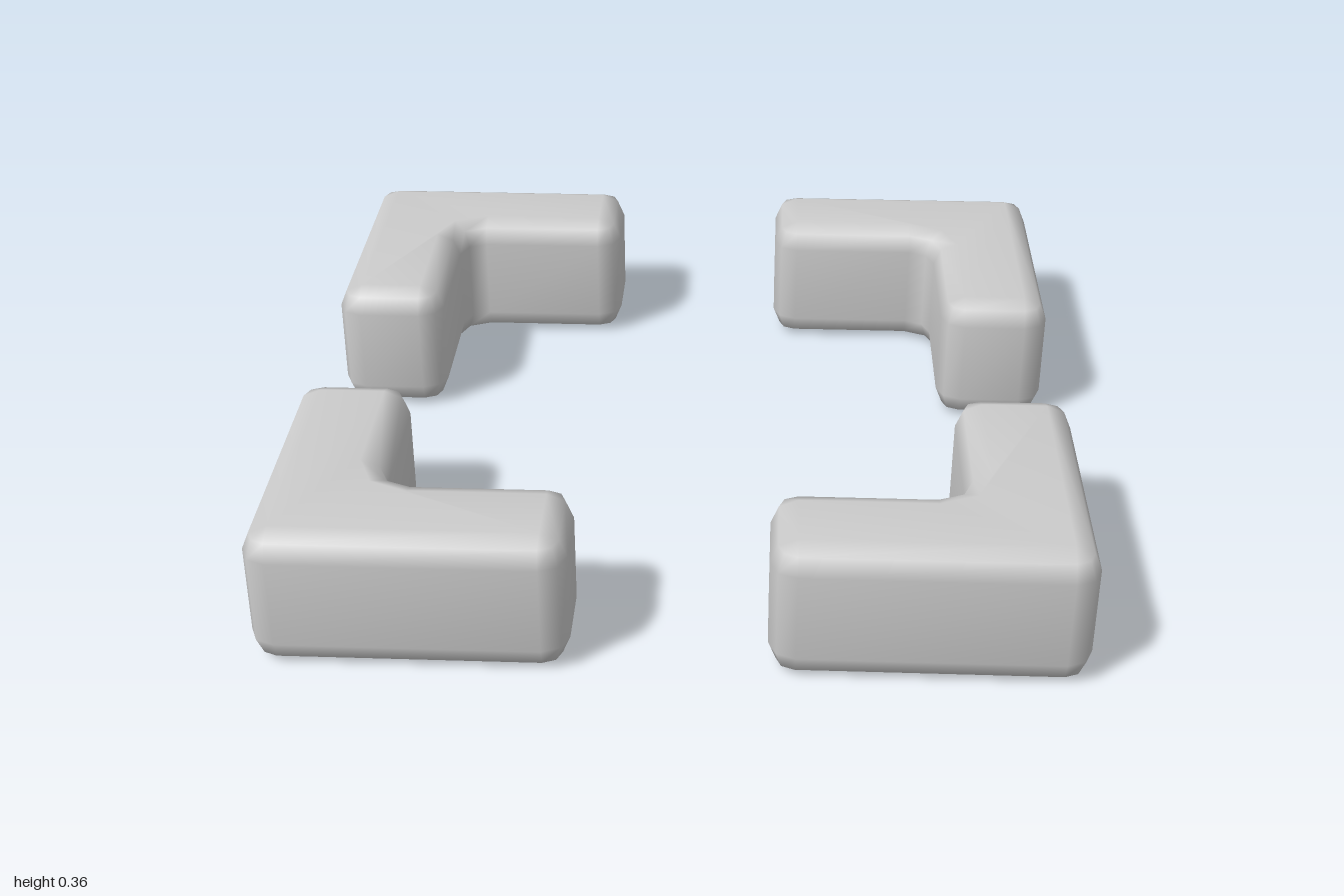
import * as THREE from 'three';
import { mergeVertices } from 'three/addons/utils/BufferGeometryUtils.js';

const OUTER = 1, INNER = 0.705, END = 0.235, HEIGHT = 0.36;
const R = 0.065;      // edge rounding
const FILLET = 0.07;  // radius of the inner corner
const SEG = 2;        // steps per rounded edge

// L outline in (x, z), with the inset core grown outwards by d
function outline(d) {
  const points = [];
  const arc = (cx, cz, radius, from, to) => {
    for (let k = 0; k <= SEG; k++) {
      const a = THREE.MathUtils.degToRad(from + (to - from) * k / SEG);
      points.push(new THREE.Vector2(cx + radius * Math.cos(a), cz + radius * Math.sin(a)));
    }
  };
  arc(OUTER - R, OUTER - R, d, 0, 90);
  arc(END + R, OUTER - R, d, 90, 180);
  arc(END + R, INNER + R, d, 180, 270);
  arc(INNER - FILLET, INNER - FILLET, FILLET + R - d, 90, 0); // inner corner
  arc(INNER + R, END + R, d, 180, 270);
  arc(OUTER - R, END + R, d, 270, 360);
  return points;
}

function cornerGeometry() {
  // Stack of outlines: rounded bottom edge, straight wall, rounded top edge
  const levels = [];
  for (let k = 0; k <= SEG; k++) {
    const t = k / SEG * Math.PI / 2;
    levels.push([R * Math.sin(t), R - R * Math.cos(t)]);
  }
  for (let k = SEG; k >= 0; k--) levels.push([levels[k][0], HEIGHT - levels[k][1]]);

  const positions = [], index = [];
  for (const [d, y] of levels) for (const p of outline(d)) positions.push(p.x, y, p.y);

  const core = outline(0), n = core.length;
  for (let j = 0; j < levels.length - 1; j++) {
    for (let k = 0; k < n; k++) {
      const a = j * n + k, b = j * n + (k + 1) % n;
      index.push(a, a + n, b, b, a + n, b + n);
    }
  }

  // Flat underside and top
  const top = (levels.length - 1) * n;
  for (const [a, b, c] of THREE.ShapeUtils.triangulateShape(core, [])) {
    index.push(a, b, c, top + a, top + c, top + b);
  }

  let geometry = new THREE.BufferGeometry();
  geometry.setAttribute('position', new THREE.Float32BufferAttribute(positions, 3));
  geometry.setIndex(index);
  geometry = mergeVertices(geometry, 1e-5);
  geometry.computeVertexNormals();
  return geometry;
}

export function createModel() {
  const model = new THREE.Group();
  model.name = 'cornerBrackets';
  const material = new THREE.MeshStandardMaterial({ color: 0xcccccc });
  const geometry = cornerGeometry();
  // One bracket per corner, turned in quarter steps
  ['frontLeftBracket', 'backLeftBracket', 'backRightBracket', 'frontRightBracket'].forEach((name, i) => {
    const bracket = new THREE.Mesh(geometry, material);
    bracket.name = name;
    bracket.rotation.y = i * Math.PI / 2;
    model.add(bracket);
  });
  return model;
}
